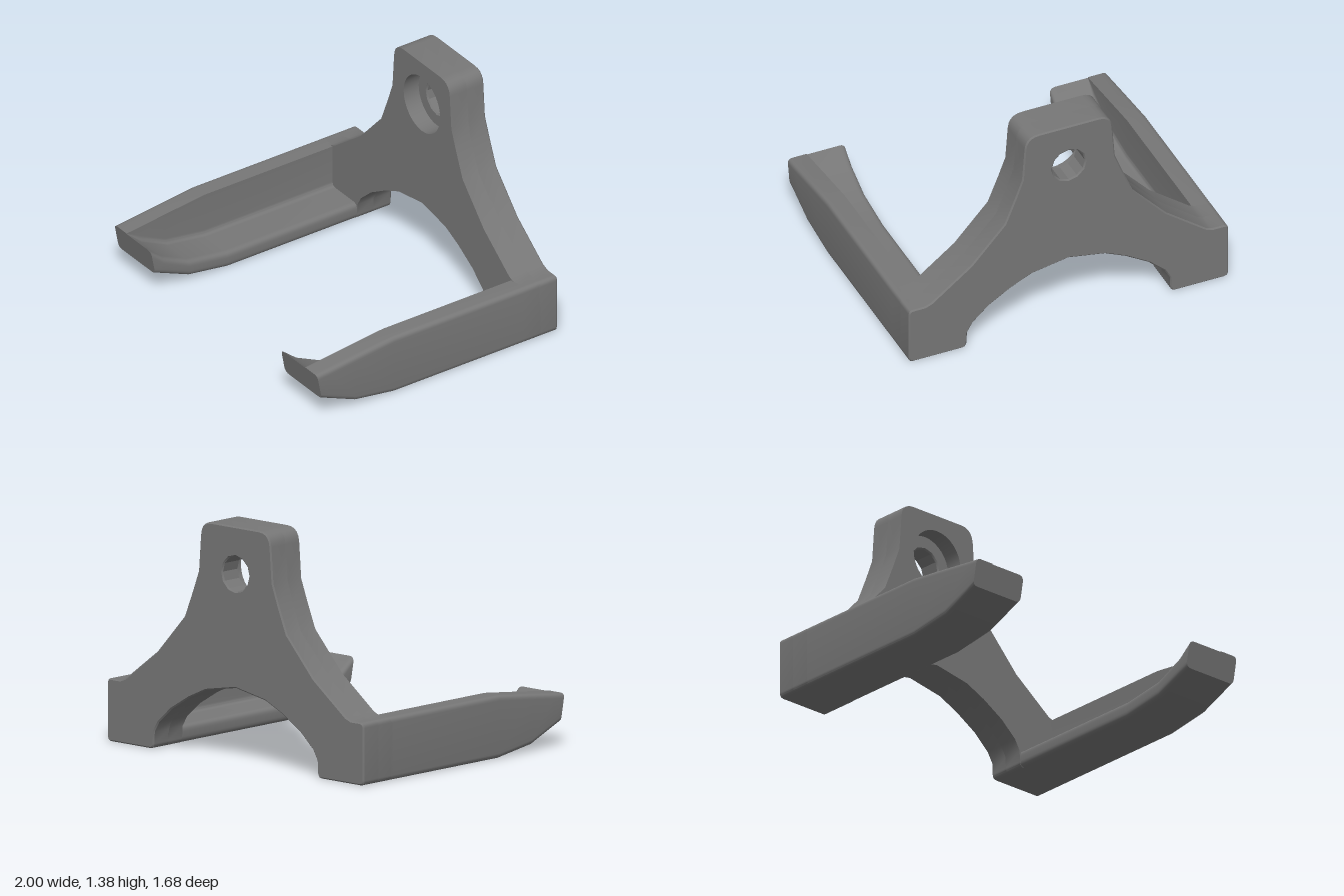
import * as THREE from 'three';
import { toCreasedNormals } from 'three/addons/utils/BufferGeometryUtils.js';

const material = new THREE.MeshStandardMaterial({ color: 0x777777 });

// Replace each corner [x, y, radius] of a closed outline by a short arc.
function roundCorners(corners, steps = 5) {
  const out = [];
  corners.forEach(([x, y, r = 0], i) => {
    const p = new THREE.Vector2(x, y);
    if (!r) return out.push(p);
    const n = corners.length;
    const toward = ([qx, qy]) => new THREE.Vector2(qx, qy).sub(p).setLength(r).add(p);
    const curve = new THREE.QuadraticBezierCurve(
      toward(corners[(i + n - 1) % n]), p, toward(corners[(i + 1) % n]));
    out.push(...curve.getPoints(steps));
  });
  return out;
}

// One layer of the upright plate, with a round hole and optional edge chamfer.
function plateLayer(holeRadius, holeSegments, zBack, zFront, chamfer) {
  const half = [
    [0.268, 1.375, 0.085], [0.29, 1.08], [0.335, 0.96], [0.4, 0.8], [0.61, 0.57],
    [0.86, 0.38], [0.9, 0.365], [1, 0.365, 0.03], [1, 0, 0.03], [0.64, 0, 0.03],
    [0.635, 0.1], [0.6, 0.16], [0.5, 0.25], [0.36, 0.335], [0.23, 0.395],
  ];
  const mirrored = half.map(([x, y, r]) => [-x, y, r]).reverse();
  const shape = new THREE.Shape(roundCorners([...half, [0, 0.437], ...mirrored]));
  const hole = new THREE.Path().absarc(0, 1.1, holeRadius, 0, Math.PI * 2, false);
  shape.holes.push(new THREE.Path(hole.getPoints(holeSegments / 2)));
  const geometry = new THREE.ExtrudeGeometry(shape, {
    depth: zFront - zBack - 2 * chamfer, bevelEnabled: chamfer > 0, bevelSegments: 1,
    bevelThickness: chamfer, bevelSize: chamfer, bevelOffset: -chamfer,
  });
  geometry.translate(0, 0, zBack + chamfer);
  return toCreasedNormals(geometry, 0.5);
}

// Arm cross-section: floor with a raised wall on the outer side.
function armSection(bottom, floor, top) {
  const fillet = Math.min(0.03, (top - floor) * 0.5);
  return roundCorners([
    [0.64, bottom, 0.035], [1, bottom, 0.03], [1, top, 0.03],
    [0.88, top], [0.88, floor, fillet], [0.64, floor, 0.035],
  ]);
}

// Tray-like arm lofted along z; the floor ramps up to the front edge.
function armGeometry(side) {
  const stations = [ // z, underside, floor, wall top
    [-0.61, 0, 0.1, 0.365], [0.3, 0, 0.1, 0.365], [0.57, 0.04, 0.14, 0.334],
    [0.75, 0.115, 0.225, 0.312], [0.81, 0.14, 0.298, 0.302],
  ];
  const positions = [];
  const index = [];
  const tri = (a, b, c) => index.push(...(side > 0 ? [a, b, c] : [a, c, b]));
  let section;
  stations.forEach(([z, bottom, floor, top], k) => {
    section = armSection(bottom, floor, top);
    const slant = k === stations.length - 1 ? 0.19 : 0; // front face leans outwards
    for (const p of section) positions.push(p.x * side, p.y, z + slant * (p.y - 0.14));
  });
  const n = section.length;
  for (let k = 0; k < stations.length - 1; k++) {
    for (let i = 0; i < n; i++) {
      const a = k * n + i;
      const b = k * n + (i + 1) % n;
      tri(a, b, b + n);
      tri(a, b + n, a + n);
    }
  }
  const last = (stations.length - 1) * n;
  for (const [a, b, c] of THREE.ShapeUtils.triangulateShape(section, [])) {
    tri(last + a, last + b, last + c);
  }
  const geometry = new THREE.BufferGeometry();
  geometry.setAttribute('position', new THREE.Float32BufferAttribute(positions, 3));
  geometry.setIndex(index);
  return toCreasedNormals(geometry, 0.6);
}

export function createModel() {
  const model = new THREE.Group();
  model.name = 'wallHolder';
  const add = (parent, name, geometry) => {
    const mesh = new THREE.Mesh(geometry, material);
    mesh.name = name;
    parent.add(mesh);
  };

  // Mounting plate: narrow screw hole behind, wide counterbore in front.
  // The front layer overlaps the back one to cover its forward chamfer.
  const plate = new THREE.Group();
  plate.name = 'mountingPlate';
  add(plate, 'plateBack', plateLayer(0.103, 12, -0.84, -0.705, 0.008));
  add(plate, 'plateFront', plateLayer(0.18, 32, -0.72, -0.6, 0));
  model.add(plate);

  // Mirrored support arms
  add(model, 'leftArm', armGeometry(1));
  add(model, 'rightArm', armGeometry(-1));
  return model;
}
